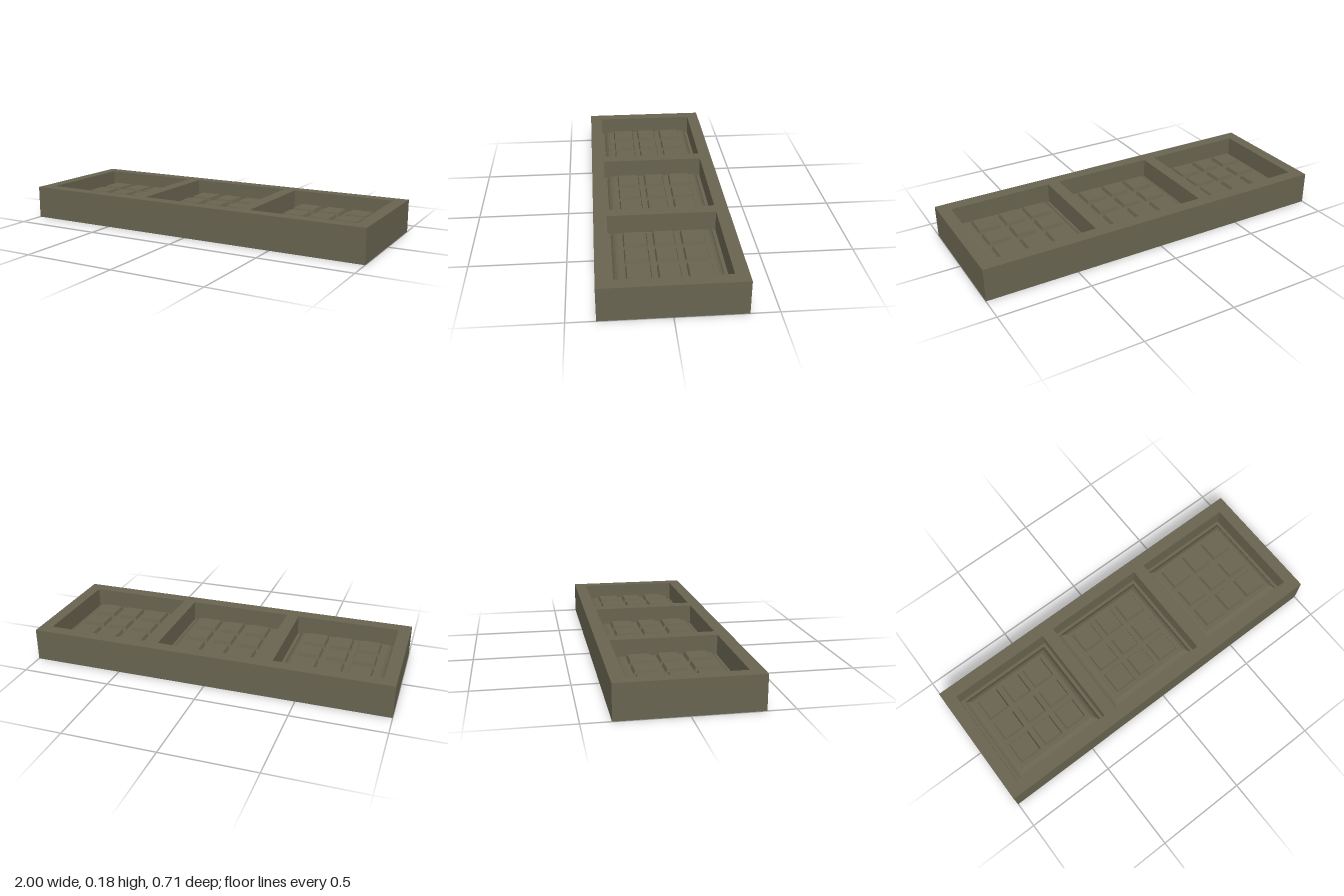
import * as THREE from 'three';

const material = new THREE.MeshStandardMaterial({ color: 0x686450, roughness: 0.9, side: THREE.DoubleSide });

const HX = 1, HZ = 0.357, TOP = 0.18, BASE = 0.008;
const CELLS = [-0.645, 0, 0.645];
const CELL = 0.2875;   // half size of each opening
const PANEL_Y = 0.105;
const TILES = [[-0.15, 0.0625], [0, 0.056], [0.148, 0.0625]]; // centre, half size

function add(parent, name, geometry, x = 0, y = 0, z = 0) {
  const mesh = new THREE.Mesh(geometry, material);
  mesh.name = name;
  mesh.position.set(x, y, z);
  parent.add(mesh);
  return mesh;
}

function rect(target, cx, cy, hx, hy) {
  target.moveTo(cx - hx, cy - hy);
  target.lineTo(cx + hx, cy - hy);
  target.lineTo(cx + hx, cy + hy);
  target.lineTo(cx - hx, cy + hy);
  target.closePath();
  return target;
}

// Faceted sheet through rectangular rings [halfX, halfZ, y], outermost first
function rectLoft(rings, cap) {
  const pos = [];
  const corner = ([hx, hz, y], i) => [[-hx, y, hz], [hx, y, hz], [hx, y, -hz], [-hx, y, -hz]][i % 4];
  const quad = (a, b, c, d) => pos.push(...a, ...b, ...c, ...a, ...c, ...d);
  for (let r = 0; r + 1 < rings.length; r++) {
    for (let i = 0; i < 4; i++) {
      quad(corner(rings[r], i), corner(rings[r], i + 1), corner(rings[r + 1], i + 1), corner(rings[r + 1], i));
    }
  }
  if (cap) {
    const last = rings[rings.length - 1];
    quad(corner(last, 0), corner(last, 1), corner(last, 2), corner(last, 3));
  }
  const geometry = new THREE.BufferGeometry();
  geometry.setAttribute('position', new THREE.Float32BufferAttribute(pos, 3));
  geometry.computeVertexNormals();
  return geometry;
}

export function createModel() {
  const model = new THREE.Group();
  model.name = 'cofferedPanel';

  // Frame of beams with three square openings
  const outline = rect(new THREE.Shape(), 0, 0, HX, HZ);
  for (const x of CELLS) outline.holes.push(rect(new THREE.Path(), x, 0, CELL, CELL));
  const frame = new THREE.ExtrudeGeometry(outline, { depth: TOP - BASE, bevelEnabled: false });
  frame.rotateX(-Math.PI / 2);
  add(model, 'beamFrame', frame, 0, BASE, 0);

  // Fine moulding strips under the beams
  const mouldings = new THREE.Group();
  mouldings.name = 'beamMouldings';
  model.add(mouldings);
  const strip = 0.012;
  for (const side of [-1, 1]) {
    for (const z of [HZ - strip / 2, 0.323, CELL + strip / 2]) {
      add(mouldings, 'longMoulding', new THREE.BoxGeometry(2 * HX, BASE, strip), 0, BASE / 2, side * z);
    }
    for (const x of [HX - strip / 2, 0.967, 0.9385, 0.3515, 0.3225, 0.2935]) {
      // Strips between openings span the full width
      add(mouldings, 'crossMoulding', new THREE.BoxGeometry(strip, BASE, 2 * HZ), side * x, BASE / 2, 0);
    }
  }

  // Coffers: stepped sheet rising to a field of nine raised tiles
  const steps = [[CELL, 0.07], [0.27, 0.07], [0.262, 0.086], [0.25, 0.098], [0.235, PANEL_Y]];
  const moulding = rectLoft(steps.map(([h, y]) => [h, h, y]), false);

  const fieldShape = rect(new THREE.Shape(), 0, 0, 0.235, 0.235);
  for (const [tx, hx] of TILES) {
    for (const [tz, hz] of TILES) fieldShape.holes.push(rect(new THREE.Path(), tx, -tz, hx, hz));
  }
  const field = new THREE.ShapeGeometry(fieldShape);
  field.rotateX(-Math.PI / 2);

  for (const x of CELLS) {
    const coffer = new THREE.Group();
    coffer.name = 'coffer';
    coffer.position.x = x;
    model.add(coffer);
    add(coffer, 'cofferMoulding', moulding);
    add(coffer, 'cofferField', field, 0, PANEL_Y, 0);
    for (const [tx, hx] of TILES) {
      for (const [tz, hz] of TILES) {
        const tile = rectLoft([[hx, hz, 0], [hx - 0.006, hz - 0.006, 0.02]], true);
        add(coffer, 'tile', tile, tx, PANEL_Y, tz);
      }
    }
  }
  return model;
}
